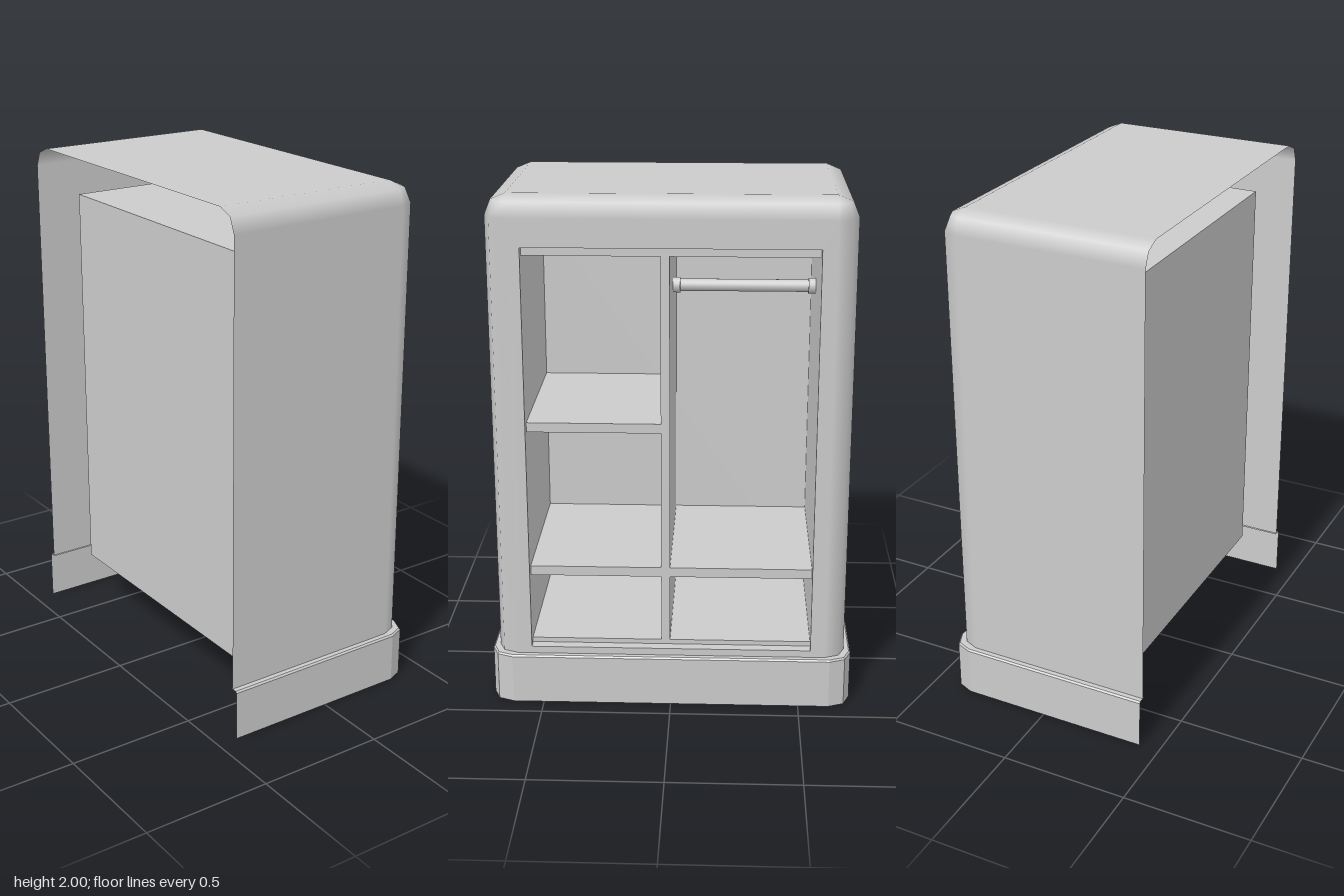
import * as THREE from 'three';

const BACK = -0.42;
const material = new THREE.MeshStandardMaterial({ color: 0xcccccc, side: THREE.DoubleSide });

// U-shaped wall, open at the back: columns run around the two front corners,
// each row is { y, r, n } = height, corner radius, upward tilt of the normal
function wall(cx, cz, rows, skipFront = false) {
  const H = Math.PI / 2;
  const columns = [[BACK, 1, H], [cx, 1, H], [cx, 1, H / 2], [cx, 1, 0],
    [cx, -1, 0], [cx, -1, -H / 2], [cx, -1, -H], [BACK, -1, -H]];
  const pos = [], nor = [], idx = [], w = columns.length;
  rows.forEach(({ y, r, n = 0 }, j) => columns.forEach(([x, side, a], i) => {
    pos.push(x + r * Math.cos(a), y, side * cz + r * Math.sin(a));
    nor.push(Math.cos(n) * Math.cos(a), Math.sin(n), Math.cos(n) * Math.sin(a));
    if (j === rows.length - 1 || i === w - 1) return;
    if (skipFront && j === 0 && i === 3) return;
    const p = j * w + i;
    idx.push(p, p + 1, p + w + 1, p, p + w + 1, p + w);
  }));
  const g = new THREE.BufferGeometry();
  g.setAttribute('position', new THREE.Float32BufferAttribute(pos, 3));
  g.setAttribute('normal', new THREE.Float32BufferAttribute(nor, 3));
  g.setIndex(idx);
  return g;
}

function rectangle(x0, y0, x1, y1, Type = THREE.Shape) {
  const s = new Type();
  s.moveTo(x0, y0).lineTo(x1, y0).lineTo(x1, y1).lineTo(x0, y1).closePath();
  return s;
}

export function createModel() {
  const group = new THREE.Group();
  const add = (name, geometry, x = 0, y = 0, z = 0) => {
    const mesh = new THREE.Mesh(geometry, material);
    mesh.name = name;
    mesh.position.set(x, y, z);
    group.add(mesh);
    return mesh;
  };
  const span = (name, x0, x1, y0, y1, z0, z1) => add(name,
    new THREE.BoxGeometry(x1 - x0, y1 - y0, z1 - z0), (x0 + x1) / 2, (y0 + y1) / 2, (z0 + z1) / 2);

  // Rounded outer shell
  const cx = 0.315, cz = 0.6, R = 0.08, top = 2, base = 0.2;
  const rows = [{ y: base, r: R }];
  for (let k = 0; k <= 2; k++) {
    const n = k * Math.PI / 4;
    rows.push({ y: top - R + R * Math.sin(n), r: R * Math.cos(n), n });
  }
  add('shell', wall(cx, cz, rows, true));
  add('shellTop', new THREE.PlaneGeometry(cx - BACK, cz * 2).rotateX(-Math.PI / 2), (cx + BACK) / 2, top, 0);

  // Face with the wardrobe opening
  const open = { z: 0.545, y0: 0.228, y1: 1.815 };
  const face = rectangle(-cz, base, cz, top - R);
  face.holes.push(rectangle(-open.z, open.y0, open.z, open.y1, THREE.Path));
  add('openingFrame', new THREE.ShapeGeometry(face).rotateY(Math.PI / 2), cx + R, 0, 0);

  // Plinth with a narrow ledge on top, faceted corners
  const plinth = wall(0.335, 0.62, [{ y: 0, r: 0.085 }, { y: 0.193, r: 0.085 },
    { y: base, r: 0.079 }, { y: base, r: 0.05 }]).toNonIndexed();
  plinth.computeVertexNormals();
  add('plinth', plinth);

  // Inner compartment, an open box behind the opening
  const inBack = -0.31, inFront = 0.355;
  const cavity = span('compartment', inBack, cx + R, open.y0, open.y1, -open.z, open.z);
  cavity.geometry.setIndex([...cavity.geometry.index.array].slice(6)); // drop the open side

  // Divider and shelves, set back from the opening
  span('divider', inBack, inFront, 0.248, 1.778, 0.004, 0.038);
  span('topPanel', inBack, inFront, 1.778, 1.814, -open.z, open.z);
  span('bottomPanel', inBack, inFront, 0.229, 0.248, -open.z, open.z);
  span('middleShelf', inBack, inFront, 1.102, 1.139, 0.038, open.z);
  span('lowerShelfLeft', inBack, inFront, 0.516, 0.554, 0.038, open.z);
  span('lowerShelfRight', inBack, inFront, 0.516, 0.554, -open.z, 0.004);

  // Hanging rail with end sockets
  const rod = (r, length) => new THREE.CylinderGeometry(r, r, length, 16).rotateX(Math.PI / 2);
  const railX = 0.02, railY = 1.597;
  add('hangingRail', rod(0.024, 0.54), railX, railY, -0.27);
  for (const z of [-0.01, -0.531]) add('railSocket', rod(0.03, 0.028), railX, railY, z);

  return group;
}
